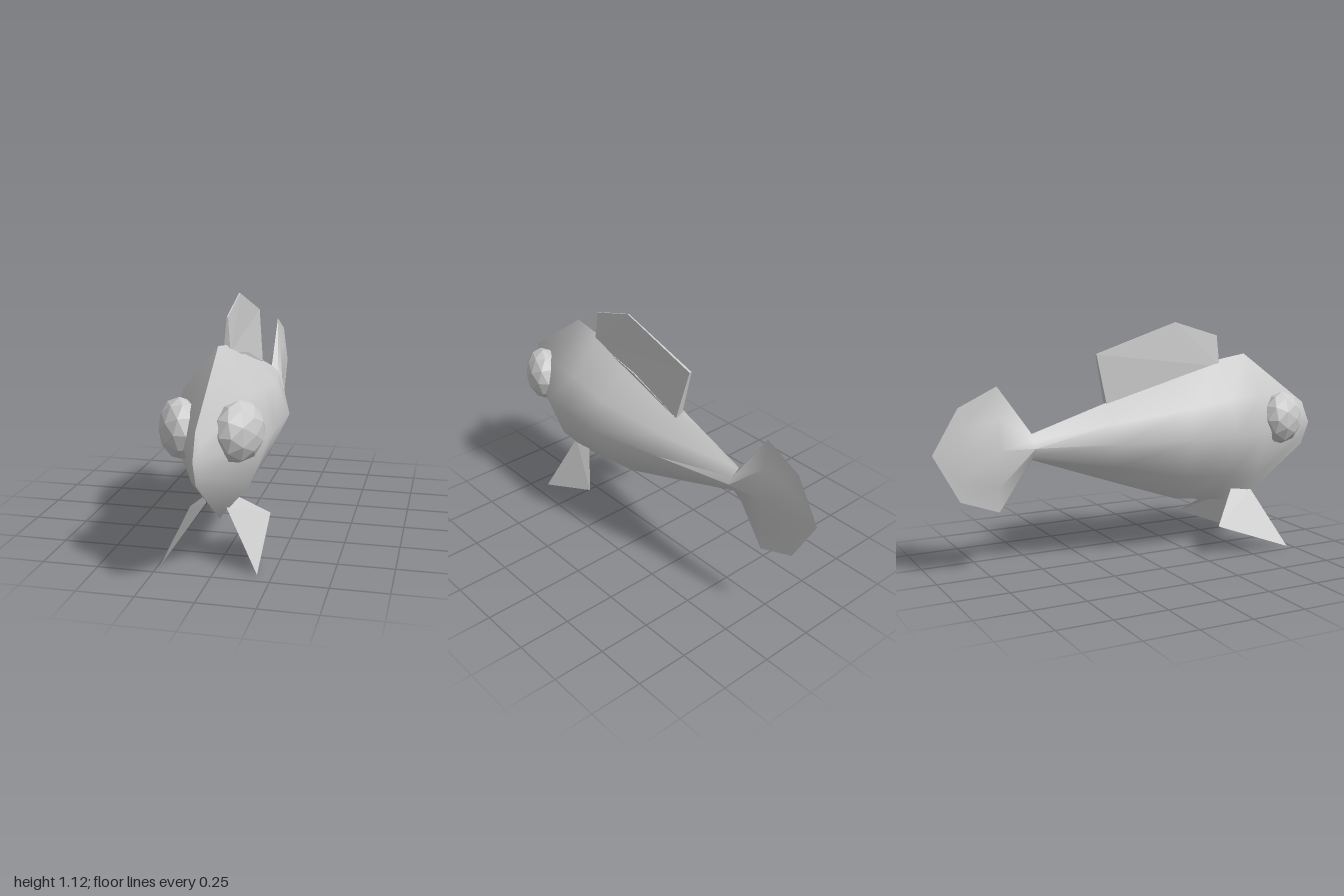
import * as THREE from 'three';
import { toCreasedNormals } from 'three/addons/utils/BufferGeometryUtils.js';

const grey = new THREE.MeshStandardMaterial({ color: 0xcccccc });
const flat = new THREE.MeshStandardMaterial({ color: 0xcccccc, flatShading: true });
const thin = new THREE.MeshStandardMaterial({ color: 0xcccccc, flatShading: true, side: THREE.DoubleSide });

function named(name, geometry, material) {
  const mesh = new THREE.Mesh(geometry, material);
  mesh.name = name;
  return mesh;
}

function fromPoints(points, index) {
  const g = new THREE.BufferGeometry();
  g.setAttribute('position', new THREE.Float32BufferAttribute(points.flat(), 3));
  g.setIndex(index);
  g.computeVertexNormals();
  return g;
}

// Loft of eight-point sections from nose to tail tip
function bodyGeometry() {
  const mid = 0.58;
  // z, top, bottom, half width on +x, half width on -x, fullness of the flanks
  const sections = [
    [1, 0.58, 0.58, 0, 0, 1],
    [0.955, 0.69, 0.47, 0.024, 0.024, 1],
    [0.59, 0.955, 0.205, 0.21, 0.205, 1],
    [0.43, 0.93, 0.23, 0.217, 0.207, 1],
    [0.2, 0.865, 0.26, 0.23, 0.21, 1],
    [-0.16, 0.76, 0.385, 0.143, 0.13, 0.95],
    [-0.54, 0.64, 0.52, 0.055, 0.05, 0.85],
    [-0.7, 0.865, 0.295, 0.036, 0.032, 0.5],
    [-0.88, 0.78, 0.36, 0.014, 0.012, 0.6],
    [-1, 0.58, 0.58, 0, 0, 0.7],
  ];
  const points = [];
  const index = [];
  for (const [z, top, bottom, l, r, k] of sections) {
    const yu = mid + (top - mid) * 0.5;
    const yl = mid + (bottom - mid) * 0.6;
    points.push(
      [0, top, z], [0.74 * l * k, yu, z], [l, mid, z], [0.6 * l * k, yl, z],
      [0, bottom, z], [-0.6 * r * k, yl, z], [-r, mid, z], [-0.74 * r * k, yu, z]);
  }
  for (let i = 0; i < sections.length - 1; i++) {
    for (let j = 0; j < 8; j++) {
      const a = i * 8 + j, b = i * 8 + (j + 1) % 8;
      index.push(a, b, a + 8, b, b + 8, a + 8);
    }
  }
  return toCreasedNormals(fromPoints(points, index), 1.0);
}

// Thin wedge: outline as [z, y, left x, right x]
function dorsalGeometry() {
  const outline = [
    [0.44, 0.9, 0.015, -0.015], [0.43, 1.05, 0.003, -0.003], [0.2, 1.12, 0.003, -0.003],
    [-0.22, 0.985, 0.002, -0.01], [-0.165, 0.74, 0.03, -0.005], [0.14, 0.845, 0.025, -0.01],
  ];
  const n = outline.length;
  const points = [
    ...outline.map(([z, y, l]) => [l, y, z]),
    ...outline.map(([z, y, , r]) => [r, y, z])];
  const index = [];
  for (let i = 1; i < n - 1; i++) index.push(0, i, i + 1, n, n + i + 1, n + i);
  for (let i = 0; i < n; i++) {
    const j = (i + 1) % n;
    index.push(i, n + i, j, j, n + i, n + j);
  }
  return fromPoints(points, index);
}

export function createModel() {
  const model = new THREE.Group();
  model.name = 'fish';
  model.add(named('body', bodyGeometry(), grey));
  model.add(named('dorsalFin', dorsalGeometry(), thin));

  // Lower fins, slightly uneven
  const fins = {
    leftFin: [[0.035, 0.265, 0.61], [0.04, 0.282, 0.49], [0.17, 0.148, 0.325], [0.185, 0.002, 0.685]],
    rightFin: [[-0.055, 0.275, 0.61], [-0.06, 0.292, 0.49], [-0.205, 0.15, 0.33], [-0.235, 0.01, 0.712]],
  };
  for (const [name, corners] of Object.entries(fins)) {
    model.add(named(name, fromPoints(corners, [0, 1, 2, 0, 2, 3]), thin));
  }

  // Bulging faceted eyes, flattened against the head
  for (const side of [1, -1]) {
    const eye = named(side > 0 ? 'leftEye' : 'rightEye', new THREE.IcosahedronGeometry(0.13, 1), flat);
    eye.scale.z = 0.68;
    eye.rotation.y = side * 1.12;
    eye.position.set(side * 0.124, 0.64, 0.74);
    model.add(eye);
  }
  return model;
}
